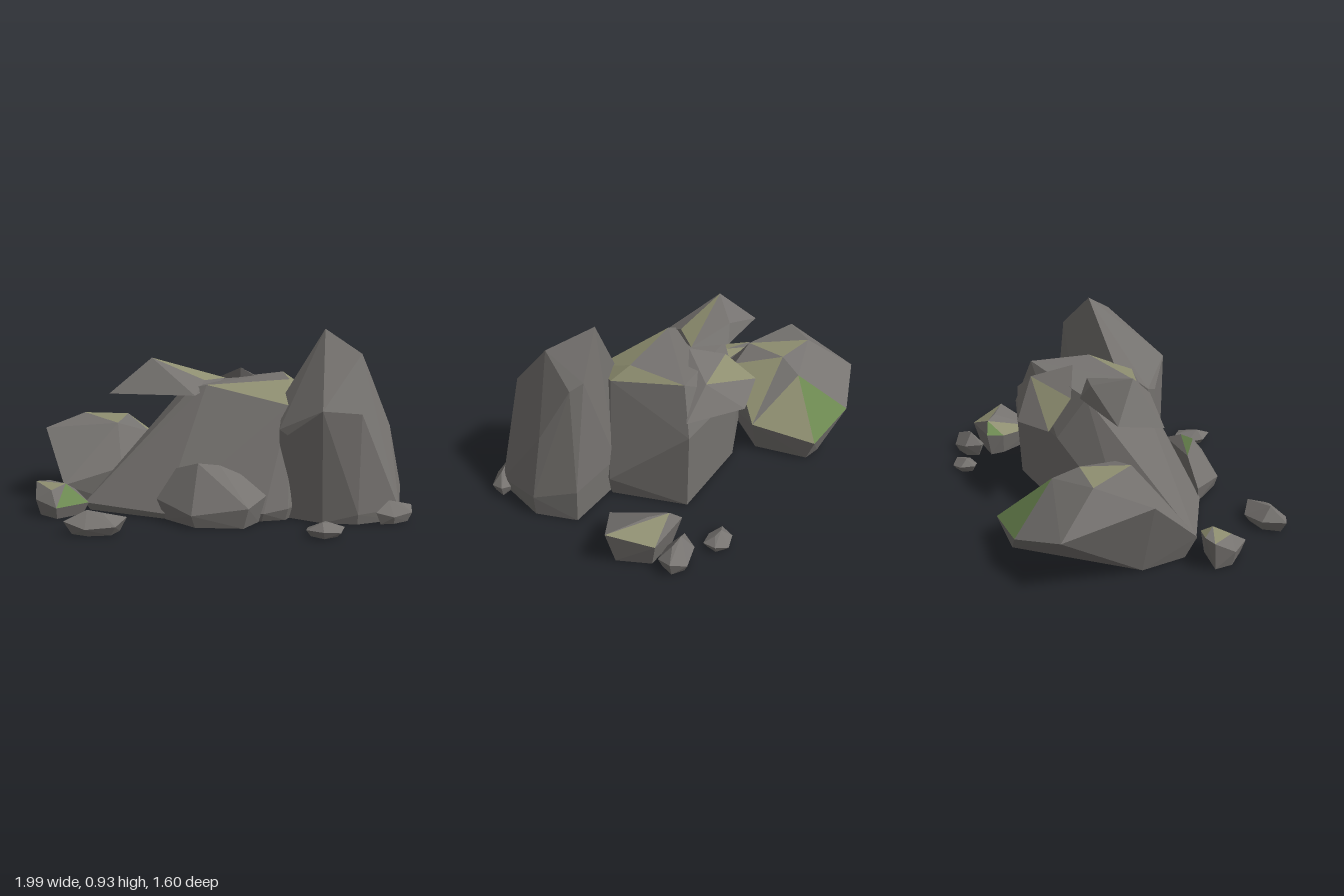
import * as THREE from 'three';
import { ConvexGeometry } from 'three/addons/geometries/ConvexGeometry.js';

const material = (name, color) => {
  const m = new THREE.MeshStandardMaterial({ color, side: THREE.DoubleSide });
  m.name = name;
  return m;
};
const MATERIALS = [
  material('stone', 0x767370),
  material('lichen', 0x8e8e70),
  material('moss', 0x6b8750),
];

// Shell open at the ground; upward facets under the [x, z] spots get lichen or moss
function paintedShell(corners, spots) {
  const position = new ConvexGeometry(corners).attributes.position;
  const facets = [];
  for (let i = 0; i < position.count; i += 3) {
    const t = new THREE.Triangle().setFromAttributeAndIndices(position, i, i + 1, i + 2);
    if (Math.max(t.a.y, t.b.y, t.c.y) < 0.001) continue;
    facets.push({ t, normal: t.getNormal(new THREE.Vector3()), slot: 0 });
  }
  const side = (a, b, x, z) => (b.x - a.x) * (z - a.z) - (b.z - a.z) * (x - a.x);
  spots.forEach((list, k) => list.forEach(([x, z]) => {
    const hit = facets.find(({ t, normal }) => normal.y > 0.01 &&
      side(t.a, t.b, x, z) <= 0 && side(t.b, t.c, x, z) <= 0 && side(t.c, t.a, x, z) <= 0);
    if (!hit) return;
    for (const f of facets) if (f.normal.dot(hit.normal) > 0.9995) f.slot = k + 1;
  }));
  const geometry = new THREE.BufferGeometry().setFromPoints(facets.flatMap(({ t }) => [t.a, t.b, t.c]));
  geometry.computeVertexNormals();
  facets.forEach((f, i) => geometry.addGroup(i * 3, 3, f.slot));
  return geometry;
}

// Faceted rock: a rim of widest corners, a crown above it, and a foot on the
// ground, either given as [x, z] or the rim drawn inwards by the inset.
function rock(name, { rim = [], crown, foot = [], inset = 0, lichen = [], moss = [] }) {
  const sides = rim.map((p) => new THREE.Vector3(...p));
  const corners = [...sides, ...crown.map((p) => new THREE.Vector3(...p))];
  corners.push(...foot.map(([x, z]) => new THREE.Vector3(x, 0, z)));
  if (inset) {
    const middle = sides.reduce((sum, p) => sum.add(p), new THREE.Vector3()).divideScalar(rim.length);
    corners.push(...sides.map((p) => middle.clone().lerp(p, inset).setY(0)));
  }
  const mesh = new THREE.Mesh(paintedShell(corners, [lichen, moss]), MATERIALS);
  mesh.name = name;
  return mesh;
}

// Small stone: an uneven six-sided ring, turned about y, with an off-centre peak
function pebble(name, x, z, length, width, height, turn) {
  const c = Math.cos(turn), s = Math.sin(turn);
  const at = (u, y, v) => [x + u * c + v * s, y, z - u * s + v * c];
  const rim = Array.from({ length: 6 }, (_, i) => {
    const a = i * Math.PI / 3, r = 1 + 0.1 * Math.sin(i * 2.4);
    return at(length * r * Math.cos(a), height * (0.45 + 0.15 * Math.cos(i * 1.9)), width * r * Math.sin(a));
  });
  const crown = [at(-0.3 * length, height, -0.1 * width), at(0.2 * length, 0.85 * height, 0.2 * width)];
  return rock(name, { rim, crown, inset: 0.75 });
}

export function createModel() {
  const group = new THREE.Group();
  group.name = 'rockPile';

  // Large boulders
  group.add(rock('tallBoulder', {
    rim: [
      [.275, .59, .13], [.215, .44, .31], [.245, .42, .37], [.39, .555, .5], [.58, .54, .52], [.56, .05, .55],
      [.785, .06, .49], [.88, .11, .215], [.82, .43, .2], [.81, .18, 0], [.48, .18, 0],
    ],
    crown: [[.5, .925, .08], [.645, .81, .27], [.745, .7, .06], [.7, .74, .01]],
    inset: .96,
  }));
  group.add(rock('mainBoulder', {
    rim: [
      [.55, .1, -.01], [.43, .42, -.4], [.24, .06, .42], [.115, .04, .43],
      [-.37, .03, .31], [-.755, .04, .06], [-.5, .05, -.2], [-.1, .4, -.38],
    ],
    crown: [
      [-.19, .62, .02], [-.12, .64, .06], [.33, .655, 0], [.36, .66, -.33],
      [.43, .6, .05], [.28, .55, .24], [-.18, .62, -.25],
    ],
    inset: .96,
    lichen: [[.2, .12], [.32, .1], [.38, -.1]],
  }));
  group.add(rock('lowBackBoulder', {
    rim: [
      [-.88, .27, -.7], [-.585, .17, -.805], [-.25, .12, -.77], [-.17, .17, -.44],
      [-.955, .38, -.28], [-.86, .12, 0], [-.56, .2, -.03],
    ],
    crown: [[-.745, .43, -.48], [-.457, .37, -.56], [-.505, .425, -.44], [-.57, .41, -.2], [-.4, .36, -.2]],
    foot: [[-.37, -.74], [-.835, -.275], [-.82, -.04], [-.56, -.05], [-.22, -.44], [-.27, -.72]],
    lichen: [[-.64, -.38], [-.38, -.37], [-.32, -.55], [-.22, -.42]],
    moss: [[-.44, -.72]],
  }));
  group.add(rock('frontBoulder', {
    rim: [[-.4, .1, .28], [-.25, .06, .495], [.02, .1, .555], [.13, .13, .42]],
    crown: [[-.2, .29, .36], [-.09, .275, .35], [-.3, .25, .27], [.02, .22, .32]],
    inset: .85,
    moss: [[-.2, .32]],
  }));

  // Slabs lying on top
  group.add(rock('topSlab', {
    crown: [
      [-.617, .59, -.05], [-.53, .6, -.25], [-.165, .62, -.28], [.01, .65, -.16],
      [-.185, .59, .105], [-.39, .77, -.1], [-.23, .705, -.25], [-.12, .655, -.02],
    ],
    lichen: [[-.2, -.09]],
  }));
  group.add(rock('backSlab', {
    crown: [
      [.1, .7, -.2], [.09, .445, -.52], [-.16, .47, -.45], [.43, .5, -.385],
      [.24, .62, -.38], [.1, .44, -.3], [-.1, .6, -.3],
    ],
    lichen: [[.13, -.37]],
  }));

  // Loose stones around the pile
  group.add(rock('rightBackRock', {
    rim: [[.655, .14, -.5], [.655, .12, -.4], [.76, .095, -.155], [.99, .18, -.29], [.895, .13, -.5]],
    crown: [[.8, .2, -.4], [.72, .2, -.47]],
    inset: .75,
    lichen: [[.9, -.38], [.7, -.4]],
    moss: [[.67, -.47]],
  }));
  group.add(rock('leftRock', {
    rim: [[-1, .15, .01], [-.8, .11, .055], [-.735, .06, .145], [-.895, .06, .25], [-1, .08, .125]],
    crown: [[-.93, .15, 0], [-.85, .15, .09], [-.92, .13, .15]],
    inset: .8,
    lichen: [[-.94, .06], [-.86, .04]],
    moss: [[-.79, .13], [-.8, .17]],
  }));
  group.add(pebble('rightBackPebble', .8, -.56, .115, .08, .13, .25));
  group.add(pebble('farBackPebble', .585, -.66, .08, .07, .065, .3));
  group.add(pebble('frontLeftPebble', -.7, .5, .145, .1, .11, .1));
  group.add(pebble('frontPebble', .36, .69, .1, .1, .065, 1.3));
  group.add(pebble('frontRightPebble', .76, .5, .125, .06, .11, .55));
  return group;
}
